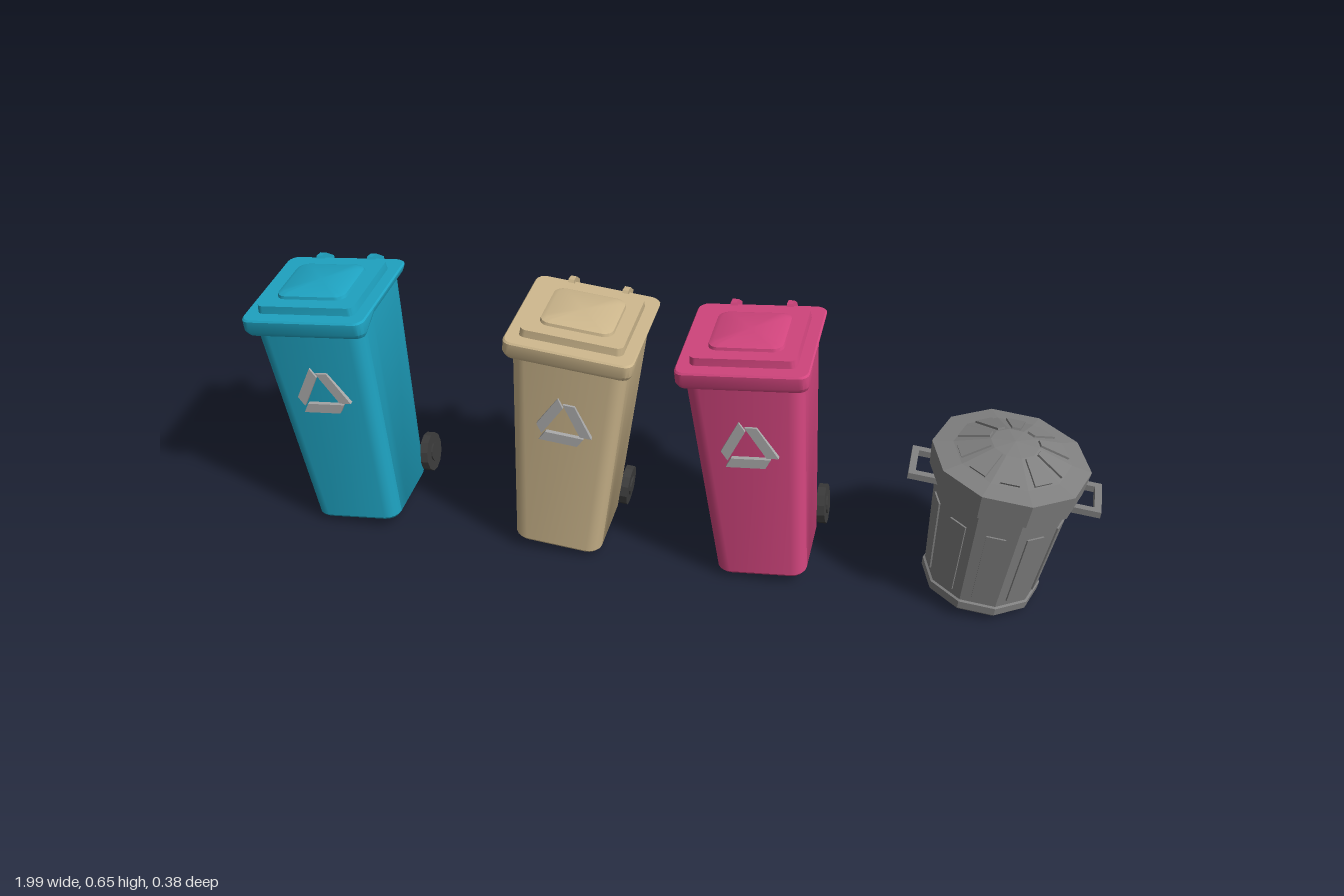
import * as THREE from 'three';
import { toCreasedNormals } from 'three/addons/utils/BufferGeometryUtils.js';

const TILT = 0.098;
const paint = (color, flatShading = false) => new THREE.MeshStandardMaterial({ color, flatShading });
const DARK = paint(0x3c3c3c, true);
const TRIM = paint(0xa8a8a8, true);
const METAL = paint(0x808080, true);

function add(parent, name, geometry, material, x = 0, y = 0, z = 0) {
  const mesh = new THREE.Mesh(geometry, material);
  mesh.name = name;
  mesh.position.set(x, y, z);
  parent.add(mesh);
  return mesh;
}

// Rounded rectangle outline in plan, with one extra point on each long side
function outline({ w, z0, z1, r }) {
  const pts = [];
  const split = z0 + r + 0.77 * (z1 - z0 - 2 * r);
  const corners = [[w - r, z1 - r], [r - w, z1 - r], [r - w, z0 + r], [w - r, z0 + r]];
  corners.forEach(([cx, cz], k) => {
    for (let i = 0; i <= 4; i++) {
      const a = (k + i / 4) * Math.PI / 2;
      pts.push([cx + r * Math.cos(a), cz + r * Math.sin(a)]);
    }
    if (k === 1) pts.push([-w, split]);
    if (k === 3) pts.push([w, split]);
  });
  return pts;
}

// Skin a stack of outlines and cap both ends; y may be a function of z
function loft(rings) {
  const pos = [], idx = [];
  let n = 0;
  rings.forEach((ring) => {
    const pts = outline(ring);
    n = pts.length;
    pts.forEach(([x, z]) => pos.push(x, typeof ring.y === 'function' ? ring.y(z) : ring.y, z));
  });
  for (let k = 0; k < rings.length - 1; k++) {
    for (let i = 0; i < n; i++) {
      const a = k * n + i, b = k * n + (i + 1) % n;
      idx.push(a, a + n, b, b, a + n, b + n);
    }
  }
  [0, rings.length - 1].forEach((k, top) => {
    const ring = rings[k], c = pos.length / 3, zc = (ring.z0 + ring.z1) / 2;
    pos.push(0, typeof ring.y === 'function' ? ring.y(zc) : ring.y, zc);
    for (let i = 0; i < n; i++) {
      const a = k * n + i, b = k * n + (i + 1) % n;
      if (top) idx.push(c, b, a); else idx.push(c, a, b);
    }
  });
  const g = new THREE.BufferGeometry();
  g.setAttribute('position', new THREE.Float32BufferAttribute(pos, 3));
  g.setIndex(idx);
  return toCreasedNormals(g, 0.6);
}

function extrudePoints(points, depth) {
  const shape = new THREE.Shape(points.map(([x, y]) => new THREE.Vector2(x, y)));
  return new THREE.ExtrudeGeometry(shape, { depth, bevelEnabled: false }).translate(0, 0, -depth / 2);
}

function wheeledBin(name, color, x, tilt) {
  const bin = new THREE.Group();
  bin.name = name;
  bin.position.set(x, 0.02, 0);
  bin.rotation.z = tilt;
  const plastic = paint(color);

  add(bin, 'body', loft([
    { w: 0.102, z0: -0.097, z1: 0.12, r: 0.03, y: 0 },
    { w: 0.108, z0: -0.102, z1: 0.126, r: 0.034, y: 0.008 },
    { w: 0.137, z0: -0.13, z1: 0.142, r: 0.034, y: 0.58 },
  ]), plastic);

  // Lid rim, whose lower edge drops towards the front
  const drop = (z) => 0.576 - 0.024 * THREE.MathUtils.clamp((z - 0.078) / 0.062, 0, 1);
  add(bin, 'lidRim', loft([
    { w: 0.147, z0: -0.141, z1: 0.156, r: 0.022, y: drop },
    { w: 0.152, z0: -0.145, z1: 0.162, r: 0.022, y: (z) => drop(z) + 0.012 },
    { w: 0.152, z0: -0.145, z1: 0.162, r: 0.022, y: 0.591 },
    { w: 0.149, z0: -0.142, z1: 0.159, r: 0.022, y: 0.595 },
  ]), plastic);
  add(bin, 'lidStep', loft([
    { w: 0.122, z0: -0.106, z1: 0.128, r: 0.015, y: 0.593 },
    { w: 0.12, z0: -0.104, z1: 0.126, r: 0.015, y: 0.614 },
  ]), plastic);
  add(bin, 'lidTopPanel', loft([
    { w: 0.087, z0: -0.068, z1: 0.092, r: 0.024, y: 0.613 },
    { w: 0.085, z0: -0.065, z1: 0.09, r: 0.024, y: 0.621 },
    { w: 0.074, z0: -0.055, z1: 0.08, r: 0.02, y: 0.626 },
  ]), plastic);

  // Hooked hinge arms at the back
  const hook = [[0.118, 0.594], [0.126, 0.609], [0.15, 0.605], [0.187, 0.577], [0.187, 0.552],
    [0.157, 0.532], [0.142, 0.494], [0.122, 0.494], [0.122, 0.56]];
  for (const side of [-1, 1]) {
    const g = extrudePoints(hook, 0.014).rotateY(Math.PI / 2);
    add(bin, 'hinge', g, plastic, side * 0.066);
  }

  // Triangle of three bars on the front
  const triangle = new THREE.Group();
  triangle.name = 'frontTriangle';
  triangle.position.set(0, 0.385, 0.137);
  triangle.rotation.x = -0.03;
  for (let i = 0; i < 3; i++) {
    const bar = extrudePoints([[-0.054, -0.013], [0.038, -0.013], [0.052, 0.011], [-0.04, 0.011]], 0.018);
    bar.translate(0, -0.037, 0).rotateZ(i * Math.PI * 2 / 3);
    add(triangle, 'triangleBar', bar, TRIM);
  }
  bin.add(triangle);

  // Wheels, axle and axle bracket
  const alongX = (r, len, n) => new THREE.CylinderGeometry(r, r, len, n).rotateZ(Math.PI / 2);
  for (const side of [-1, 1]) {
    const wheel = new THREE.Group();
    wheel.name = 'wheel';
    wheel.position.set(side * 0.119, 0.043, -0.116);
    add(wheel, 'tyre', alongX(0.05, 0.02, 12), DARK);
    add(wheel, 'hub', alongX(0.024, 0.028, 12), DARK);
    bin.add(wheel);
  }
  add(bin, 'axle', alongX(0.005, 0.23, 8), DARK, 0, 0.043, -0.116);
  add(bin, 'axleBracket', new THREE.BoxGeometry(0.055, 0.018, 0.026), plastic, 0, 0.043, -0.112);
  return bin;
}

// Ten-sided turned form with a corner on +x
function tenSided(profile) {
  return new THREE.LatheGeometry(profile.map(([r, y]) => new THREE.Vector2(r, y)), 10).rotateY(Math.PI / 2);
}

// Thin raised strip between two points of a side's profile, tapering in width
function strip(low, high, wLow, wHigh, depth) {
  const g = new THREE.BoxGeometry(1, 1, 1);
  const p = g.attributes.position;
  const dir = new THREE.Vector2(high[0] - low[0], high[1] - low[1]).normalize();
  for (let i = 0; i < p.count; i++) {
    const t = p.getY(i) + 0.5, out = p.getZ(i) * 2 * depth;
    const w = THREE.MathUtils.lerp(wLow, wHigh, t);
    p.setXYZ(i, p.getX(i) * w,
      THREE.MathUtils.lerp(low[1], high[1], t) - dir.x * out,
      THREE.MathUtils.lerp(low[0], high[0], t) + dir.y * out);
  }
  g.computeVertexNormals();
  return g;
}

function metalCan() {
  const can = new THREE.Group();
  can.name = 'metalCan';
  can.position.set(0.751, 0.019, 0.018);
  can.rotation.z = -TILT;

  add(can, 'canBody', tenSided([[0, 0], [0.134, 0], [0.139, 0.006], [0.14, 0.026], [0.135, 0.029], [0.162, 0.32]]), METAL);
  add(can, 'canLid', tenSided([[0.155, 0.305], [0.176, 0.305], [0.182, 0.368], [0.135, 0.377],
    [0.055, 0.405], [0, 0.411]]), METAL);

  // Raised strips on every side of the body and lid
  const k = Math.cos(Math.PI / 10);
  for (let i = 0; i < 10; i++) {
    const turn = (i + 0.5) * Math.PI / 5 + Math.PI / 2;
    add(can, 'bodyStrip', strip([0.1365 * k, 0.045], [0.155 * k, 0.245], 0.035, 0.045, 0.004), METAL).rotation.y = turn;
    add(can, 'lidRib', strip([0.131 * k, 0.3785], [0.06 * k, 0.4033], 0.045, 0.02, 0.005), METAL).rotation.y = turn;
  }

  // Square loop handles
  for (const side of [-1, 1]) {
    const handle = new THREE.Group();
    handle.name = 'handle';
    add(handle, 'handleGrip', new THREE.BoxGeometry(0.016, 0.016, 0.11), METAL, side * 0.212, 0.296, 0);
    for (const z of [-0.047, 0.047]) {
      add(handle, 'handleArm', new THREE.BoxGeometry(0.07, 0.016, 0.016), METAL, side * 0.172, 0.296, z);
    }
    can.add(handle);
  }
  return can;
}

export function createModel() {
  const model = new THREE.Group();
  model.name = 'binSet';
  model.add(
    wheeledBin('blueBin', 0x1fa5c4, -0.786, TILT),
    wheeledBin('beigeBin', 0xccb68c, -0.27, -TILT),
    wheeledBin('pinkBin', 0xd4467f, 0.239, TILT),
    metalCan(),
  );
  return model;
}
